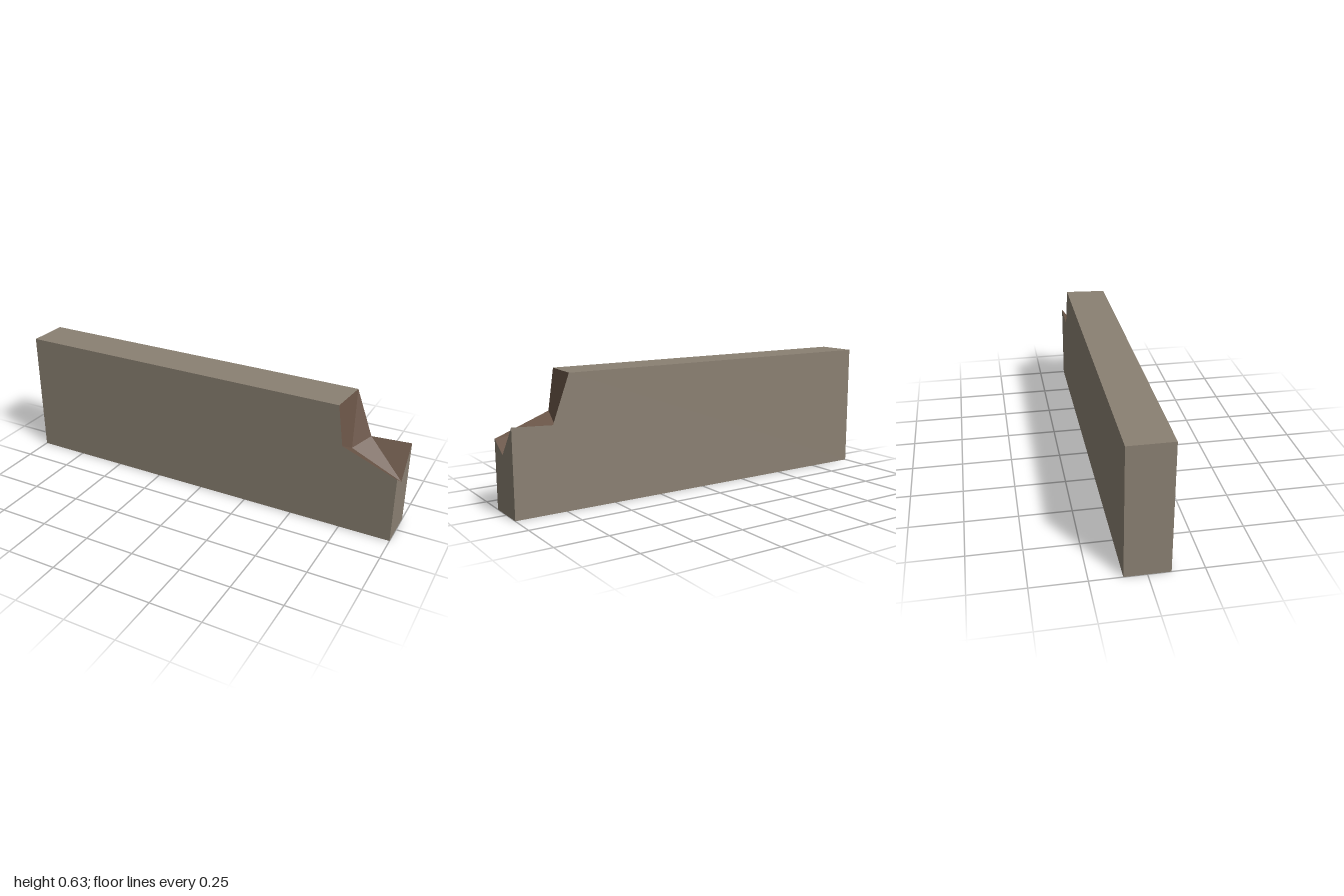
import * as THREE from 'three';

export function createModel() {
  const stone = new THREE.MeshStandardMaterial({ color: 0x8a8072 });
  stone.name = 'weathered stone';
  const broken = new THREE.MeshStandardMaterial({ color: 0x6a5547 });
  broken.name = 'broken brown core';

  const H = 0.632, D = 0.103;
  // Slab outline at one depth; the last three corners follow the break
  const section = (z, endY, endZ, notchX, notchY, topX) => [
    [-1, 0, z], [1, 0, endZ], [1, endY, endZ], [notchX, notchY, z], [topX, H, z], [-1, H, z],
  ].map((p) => new THREE.Vector3(...p));
  const sections = [
    section(D, 0.331, D, 0.735, 0.433, 0.705),
    section(0, 0.273, 0.014, 0.75, 0.378, 0.714),
    section(-D, 0.417, -D, 0.807, 0.406, 0.723),
  ];

  const shell = [], fracture = [];
  // Skin between neighbouring sections; edges 2 and 3 are the fracture
  for (let s = 0; s < 2; s++) {
    const f = sections[s], b = sections[s + 1];
    for (let i = 0; i < 6; i++) {
      const j = (i + 1) % 6;
      const target = i === 2 || i === 3 ? fracture : shell;
      target.push(f[i], b[i], b[j], f[i], b[j], f[j]);
    }
  }
  // Front and back faces
  for (let i = 1; i < 5; i++) {
    const f = sections[0], b = sections[2];
    shell.push(f[0], f[i], f[i + 1], b[0], b[i + 1], b[i]);
  }

  const group = new THREE.Group();
  group.name = 'brokenSlab';
  const add = (name, points, material) => {
    const geometry = new THREE.BufferGeometry().setFromPoints(points);
    geometry.computeVertexNormals();
    const mesh = new THREE.Mesh(geometry, material);
    mesh.name = name;
    group.add(mesh);
  };
  add('slabBody', shell, stone);
  add('fractureSurface', fracture, broken);
  return group;
}
